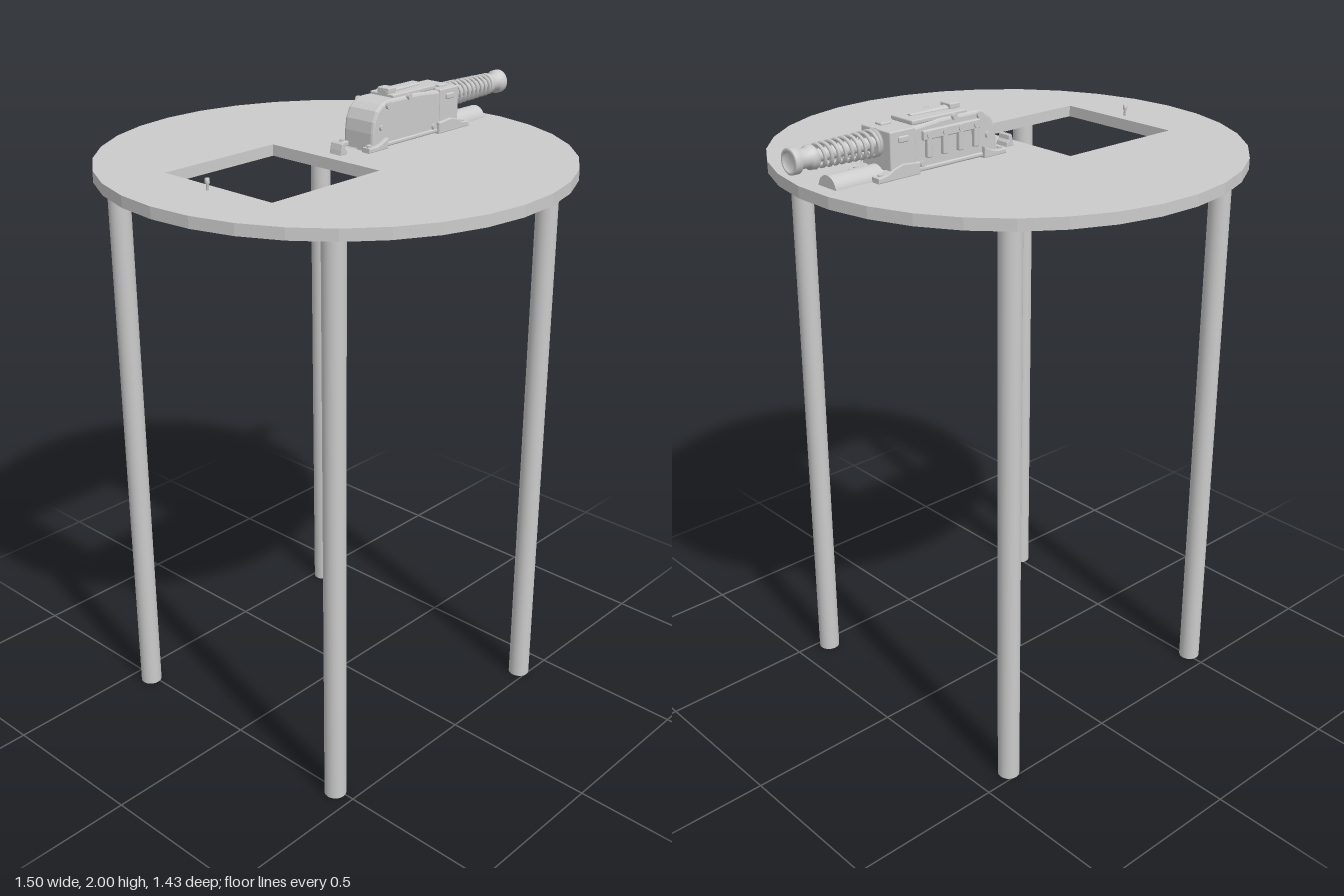
import * as THREE from 'three';
import { RoundedBoxGeometry } from 'three/addons/geometries/RoundedBoxGeometry.js';

const material = new THREE.MeshStandardMaterial({ color: 0xcccccc });
const TOP = 1.835;
const UNDER = 1.8;

function add(parent, name, geometry, x, y, z) {
  const mesh = new THREE.Mesh(geometry, material);
  mesh.name = name;
  mesh.position.set(x, y, z);
  parent.add(mesh);
  return mesh;
}

function box(w, h, d) {
  return new RoundedBoxGeometry(w, h, d, 2, 0.004);
}

function points(list) {
  return list.map((p) => new THREE.Vector2(p[0], p[1]));
}

// cylinder lying along x
function rodX(r, length) {
  const geometry = new THREE.CylinderGeometry(r, r, length, 24);
  return geometry.rotateZ(-Math.PI / 2);
}

// cylinder lying along z
function rodZ(r, length) {
  const geometry = new THREE.CylinderGeometry(r, r, length, 16);
  return geometry.rotateX(Math.PI / 2);
}

// lathe about the x axis, profile as [radius, x]
function latheX(profile) {
  const geometry = new THREE.LatheGeometry(points(profile), 24);
  return geometry.rotateZ(-Math.PI / 2);
}

// side profile in x and y, extruded along z and centred, with bevelled edges
function slab(profile, depth, bevel) {
  const shape = new THREE.Shape(points(profile));
  const options = {
    depth: depth - 2 * bevel,
    bevelEnabled: true,
    bevelSize: bevel,
    bevelThickness: bevel,
    bevelOffset: -bevel,
    bevelSegments: 2
  };
  const geometry = new THREE.ExtrudeGeometry(shape, options);
  return geometry.translate(0, 0, bevel - depth / 2);
}

function rectPath(x0, x1, z0, z1) {
  return new THREE.Path(points([[x0, -z0], [x0, -z1], [x1, -z1], [x1, -z0]]));
}

// faceted disc with a square opening and a small slot
function tableTop() {
  const rim = [];
  const sides = 33;
  for (let i = 0; i < sides; i++) {
    const a = Math.PI + (i / sides) * Math.PI * 2;
    rim.push([-0.035 + 0.716 * Math.cos(a), 0.716 * Math.sin(a)]);
  }
  const shape = new THREE.Shape(points(rim));
  shape.holes.push(rectPath(-0.51, -0.08, -0.22, 0.212));
  shape.holes.push(rectPath(0.05, 0.1, -0.038, 0.038));
  const geometry = new THREE.ExtrudeGeometry(shape, { depth: TOP - UNDER, bevelEnabled: false });
  return geometry.rotateX(-Math.PI / 2);
}

function makeTable() {
  const table = new THREE.Group();
  table.name = 'table';
  add(table, 'tableTop', tableTop(), 0, UNDER, 0);
  for (const side of [1, -1]) {
    const leg = new THREE.CylinderGeometry(0.034, 0.034, UNDER, 20);
    add(table, 'leg', leg, 0.39, UNDER / 2, side * 0.47);
    add(table, 'leg', leg, -0.51, UNDER / 2, side * 0.436);
  }
  return table;
}

function makeSmallFittings() {
  const fittings = new THREE.Group();
  fittings.name = 'smallFittings';
  // thin pin with a slightly thicker head
  const pinProfile = [[0.004, 0], [0.004, 0.018], [0.007, 0.02], [0.007, 0.034], [0, 0.036]];
  add(fittings, 'pin', new THREE.LatheGeometry(points(pinProfile), 12), -0.547, TOP, 0);
  // rounded catch with a narrower neck
  const catchProfile = [
    [-0.014, 0], [0.014, 0], [0.012, 0.012], [0.005, 0.02], [0.004, 0.032],
    [-0.002, 0.037], [-0.008, 0.032], [-0.012, 0.014]
  ];
  add(fittings, 'catch', slab(catchProfile, 0.046, 0.002), -0.024, TOP, 0);
  return fittings;
}

// helical path along x, narrowing towards the knob
class Helix extends THREE.Curve {
  getPoint(t) {
    const a = t * Math.PI * 20;
    const r = 0.036 - 0.006 * t;
    return new THREE.Vector3(t * 0.22, Math.cos(a) * r, Math.sin(a) * r);
  }
}

function makePlunger() {
  const plunger = new THREE.Group();
  plunger.name = 'plunger';
  plunger.position.set(0.46, 1.93, 0);
  const seatProfile = [[0, 0], [0.04, 0], [0.04, 0.008], [0.03, 0.012], [0, 0.012]];
  const knobProfile = [
    [0, 0.212], [0.032, 0.212], [0.034, 0.216], [0.034, 0.228], [0.027, 0.234], [0.027, 0.262],
    [0.037, 0.268], [0.037, 0.288], [0.034, 0.29], [0.027, 0.29], [0.025, 0.28], [0, 0.28]
  ];
  add(plunger, 'springSeat', latheX(seatProfile), 0, 0, 0);
  add(plunger, 'plungerRod', rodX(0.018, 0.24), 0.11, 0, 0);
  add(plunger, 'spring', new THREE.TubeGeometry(new Helix(), 200, 0.0055, 6), 0, 0, 0);
  add(plunger, 'plungerKnob', latheX(knobProfile), 0, 0, 0);
  return plunger;
}

function addFeet(parent) {
  const front = [[0.035, TOP], [0.12, TOP], [0.12, 1.868], [0.09, 1.855], [0.07, 1.85], [0.035, 1.85]];
  const rear = [
    [0.36, TOP], [0.508, TOP], [0.508, 1.85], [0.475, 1.855], [0.45, 1.868], [0.42, 1.876], [0.36, 1.87]
  ];
  for (const side of [1, -1]) {
    const z = side * 0.055;
    add(parent, 'frontFoot', slab(front, 0.032, 0.003), 0, 0, z);
    add(parent, 'rearFoot', slab(rear, 0.032, 0.003), 0, 0, z);
    for (const x of [0.05, 0.49]) {
      add(parent, 'footScrew', new THREE.CylinderGeometry(0.008, 0.008, 0.006, 12), x, 1.853, z);
    }
  }
}

function makeMechanism() {
  const mechanism = new THREE.Group();
  mechanism.name = 'mechanism';

  // housing with a rounded nose and a square rear block
  const housing = [
    [0.063, TOP], [0.38, TOP], [0.38, 1.965], [0.27, 1.975], [0.13, 1.975],
    [0.105, 1.966], [0.083, 1.95], [0.068, 1.92], [0.063, 1.885]
  ];
  add(mechanism, 'housing', slab(housing, 0.116, 0.008), 0, 0, 0);
  add(mechanism, 'rearBlock', box(0.09, 0.112, 0.128), 0.417, 1.914, -0.003);
  add(mechanism, 'rearBase', box(0.08, 0.04, 0.1), 0.4, 1.855, 0);
  addFeet(mechanism);

  // raised top cover and tapering lever
  add(mechanism, 'topCover', box(0.2, 0.014, 0.095), 0.27, 1.977, -0.003);
  const lever = new THREE.CylinderGeometry(0.007, 0.019, 0.17, 12);
  lever.scale(0.5, 1, 1);
  lever.rotateZ(-Math.PI / 2);
  add(mechanism, 'topLever', lever, 0.255, 1.985, 0);
  add(mechanism, 'leverPivot', box(0.036, 0.018, 0.046), 0.19, 1.991, 0);
  add(mechanism, 'topLug', box(0.036, 0.012, 0.03), 0.415, 1.971, 0.022);

  // bolts, latches and rails on both sides
  const bolts = [[0.13, 1.962, 0.011], [0.225, 1.973, 0.009], [0.1, 1.9, 0.009], [0.345, 1.86, 0.009]];
  for (const side of [1, -1]) {
    for (const bolt of bolts) {
      add(mechanism, 'sideBolt', rodZ(bolt[2], 0.012), bolt[0], bolt[1], side * 0.06);
    }
    add(mechanism, 'sideLatch', box(0.036, 0.018, 0.012), 0.417, 1.945, side * 0.064 - 0.003);
    add(mechanism, 'sideRail', box(0.24, 0.012, 0.01), 0.24, 1.846, side * 0.06);
  }

  // linkage on the back side
  add(mechanism, 'linkPlate', box(0.21, 0.028, 0.014), 0.24, 1.94, -0.063);
  for (let i = 0; i < 4; i++) {
    const x = 0.15 + i * 0.058;
    add(mechanism, 'linkRib', box(0.018, 0.07, 0.016), x, 1.91, -0.063);
    add(mechanism, 'linkPin', rodZ(0.01, 0.02), x, 1.94, -0.064);
  }

  // barrel let into the table top
  add(mechanism, 'barrel', rodX(0.04, 0.41), 0.425, 1.83, 0);
  add(mechanism, 'barrelSleeve', rodX(0.047, 0.13), 0.175, 1.828, 0);
  mechanism.add(makePlunger());
  return mechanism;
}

export function createModel() {
  const model = new THREE.Group();
  model.name = 'tableWithPlunger';
  model.add(makeTable());
  model.add(makeSmallFittings());
  model.add(makeMechanism());
  return model;
}
